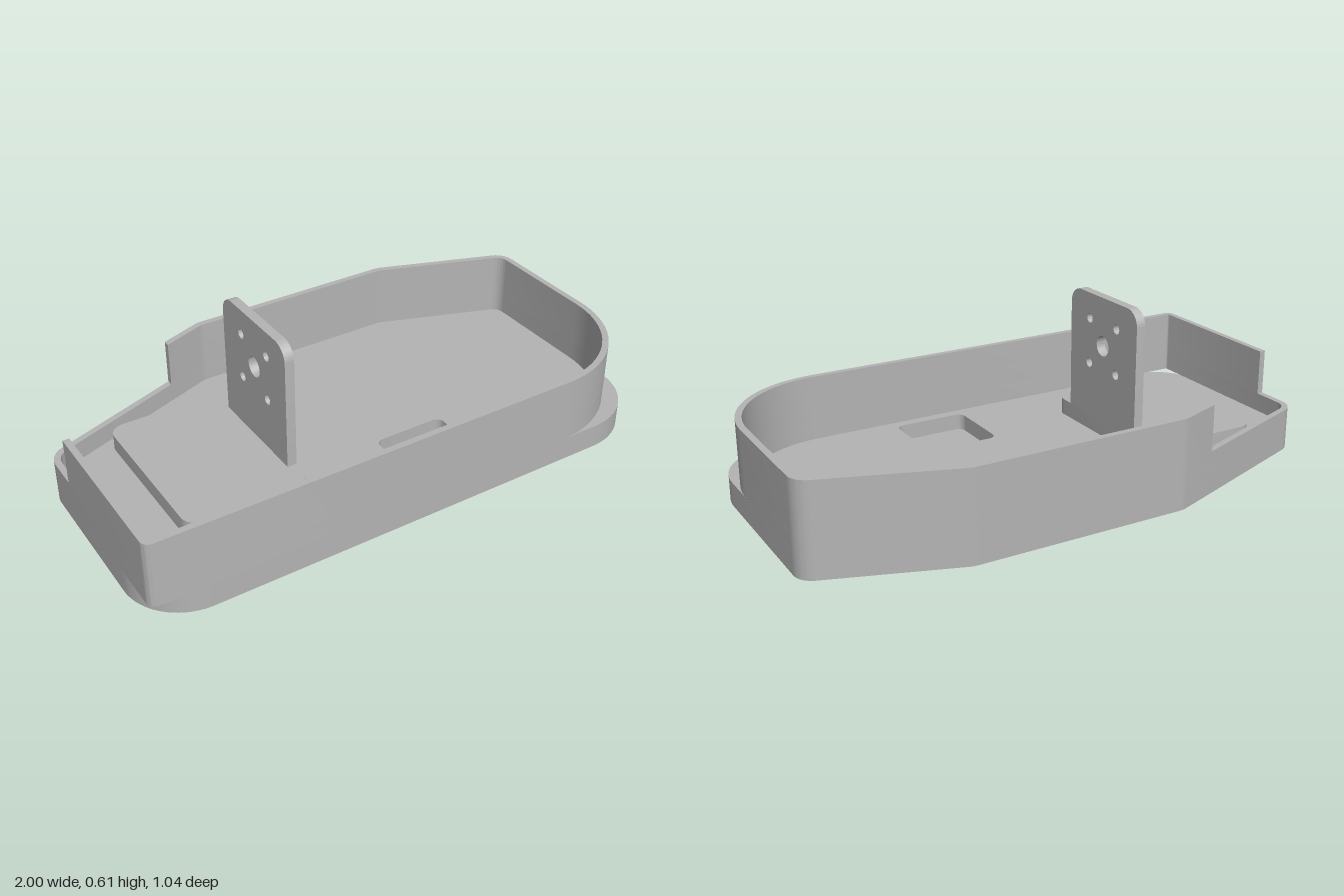
import * as THREE from 'three';
import { toCreasedNormals } from 'three/addons/utils/BufferGeometryUtils.js';

// Points of a polygon with rounded corners; each corner is [x, y, radius]
function roundedPoints(corners) {
  const points = [];
  const n = corners.length;
  corners.forEach(([x, y, r = 0], i) => {
    const p = new THREE.Vector2(x, y);
    if (r <= 0) { points.push(p); return; }
    const a = corners[(i + n - 1) % n], b = corners[(i + 1) % n];
    const u = new THREE.Vector2(a[0] - x, a[1] - y).normalize();
    const v = new THREE.Vector2(b[0] - x, b[1] - y).normalize();
    const half = Math.acos(u.dot(v)) / 2;
    const d = r / Math.tan(half);
    const c = u.clone().add(v).normalize().multiplyScalar(r / Math.sin(half)).add(p);
    const start = u.clone().multiplyScalar(d).add(p).sub(c).angle();
    let sweep = v.clone().multiplyScalar(d).add(p).sub(c).angle() - start;
    if (sweep > Math.PI) sweep -= 2 * Math.PI;
    if (sweep < -Math.PI) sweep += 2 * Math.PI;
    const steps = Math.max(4, Math.ceil(Math.abs(sweep) / 0.08));
    for (let k = 0; k <= steps; k++) {
      const t = start + sweep * k / steps;
      points.push(new THREE.Vector2(c.x + r * Math.cos(t), c.y + r * Math.sin(t)));
    }
  });
  return points;
}

const rectangle = (x0, y0, x1, y1, r) => [[x0, y0, r], [x1, y0, r], [x1, y1, r], [x0, y1, r]];

// Extrude a plan outline (x, z) between two heights
function slab(corners, bottom, top, holes = []) {
  const shape = new THREE.Shape(roundedPoints(corners));
  holes.forEach(h => shape.holes.push(new THREE.Path(roundedPoints(h))));
  const geometry = new THREE.ExtrudeGeometry(shape, { depth: top - bottom, bevelEnabled: false });
  geometry.rotateX(Math.PI / 2).translate(0, top, 0);
  return toCreasedNormals(geometry, 0.35);
}

// Move every edge of an outline inward by t, shrinking the corner radii
function inset(corners, t) {
  const n = corners.length;
  const edge = i => {
    const a = corners[i % n], b = corners[(i + 1) % n];
    const d = new THREE.Vector2(b[0] - a[0], b[1] - a[1]).normalize();
    return { x: a[0] - d.y * t, y: a[1] + d.x * t, d };
  };
  return corners.map((c, i) => {
    const e = edge(i + n - 1), f = edge(i);
    const s = ((f.x - e.x) * f.d.y - (f.y - e.y) * f.d.x) / e.d.cross(f.d);
    return [e.x + e.d.x * s, e.y + e.d.y * s, Math.max(c[2] - t, 0.008)];
  });
}

// Plan outline, from the back left-hand bend clockwise seen from above
const outline = (frontPlus, frontMinus) => [
  [-0.3, -0.522, 0.08], [0.5, -0.522, 0.08], [1, -0.345, 0.07],
  [1, 0.522, frontPlus], [-1, 0.522, frontMinus], [-1, -0.264, 0.085],
];

export function createModel() {
  const group = new THREE.Group();
  const grey = new THREE.MeshStandardMaterial({ color: 0xb4b4b4 });
  grey.name = 'plain grey';
  const add = (name, geometry) => {
    const mesh = new THREE.Mesh(geometry, grey);
    mesh.name = name;
    group.add(mesh);
    return mesh;
  };

  const floorTop = 0.09, notchHeight = 0.16, rim = 0.33, blockTop = 0.15;

  // Base slab with a shallow square pocket
  const base = outline(0.25, 0.21);
  add('baseUnderside', slab(base, 0, 0.03));
  add('baseFloor', slab(base, 0.03, floorTop, [rectangle(0.03, 0.18, 0.305, 0.46, 0.03)]));

  // Lower wall runs all the way round
  const outer = outline(0.4, 0.03);
  const inner = inset(outer, 0.023);
  add('lowerWall', slab(outer, floorTop, notchHeight, [inner]));

  // Upper wall is left open at one back corner
  const cutX = -0.46, cutZ = -0.09;
  const onBackEdge = ring => {
    const [p, q] = [ring[5], ring[0]];
    return [cutX, p[1] + (q[1] - p[1]) * (cutX - p[0]) / (q[0] - p[0]), 0];
  };
  const openWall = [
    onBackEdge(outer), ...outer.slice(0, 5), [outer[4][0], cutZ, 0],
    [inner[4][0], cutZ, 0], ...inner.slice(0, 5).reverse(), onBackEdge(inner),
  ];
  add('upperWall', slab(openWall, notchHeight, rim));

  // Raised block carrying the upright plate
  add('mountBlock', slab(rectangle(-0.765, -0.315, -0.31, 0.31, 0.055), floorTop, blockTop));

  // Upright mounting plate with one large and four small holes
  const plate = new THREE.Shape(roundedPoints([
    [-0.209, blockTop, 0], [0.209, blockTop, 0], [0.209, 0.614, 0.06], [-0.209, 0.614, 0.06],
  ]));
  const drill = (z, y, r) => plate.holes.push(new THREE.Path().absarc(z, y, r, 0, Math.PI * 2, true));
  drill(0, 0.435, 0.038);
  for (const z of [-0.085, 0.085]) for (const y of [0.35, 0.52]) drill(z, y, 0.018);
  const plateGeometry = new THREE.ExtrudeGeometry(plate, { depth: 0.035, bevelEnabled: false, curveSegments: 24 });
  plateGeometry.rotateY(-Math.PI / 2).translate(-0.31, 0, 0);
  add('mountPlate', toCreasedNormals(plateGeometry, 0.35));

  return group;
}
